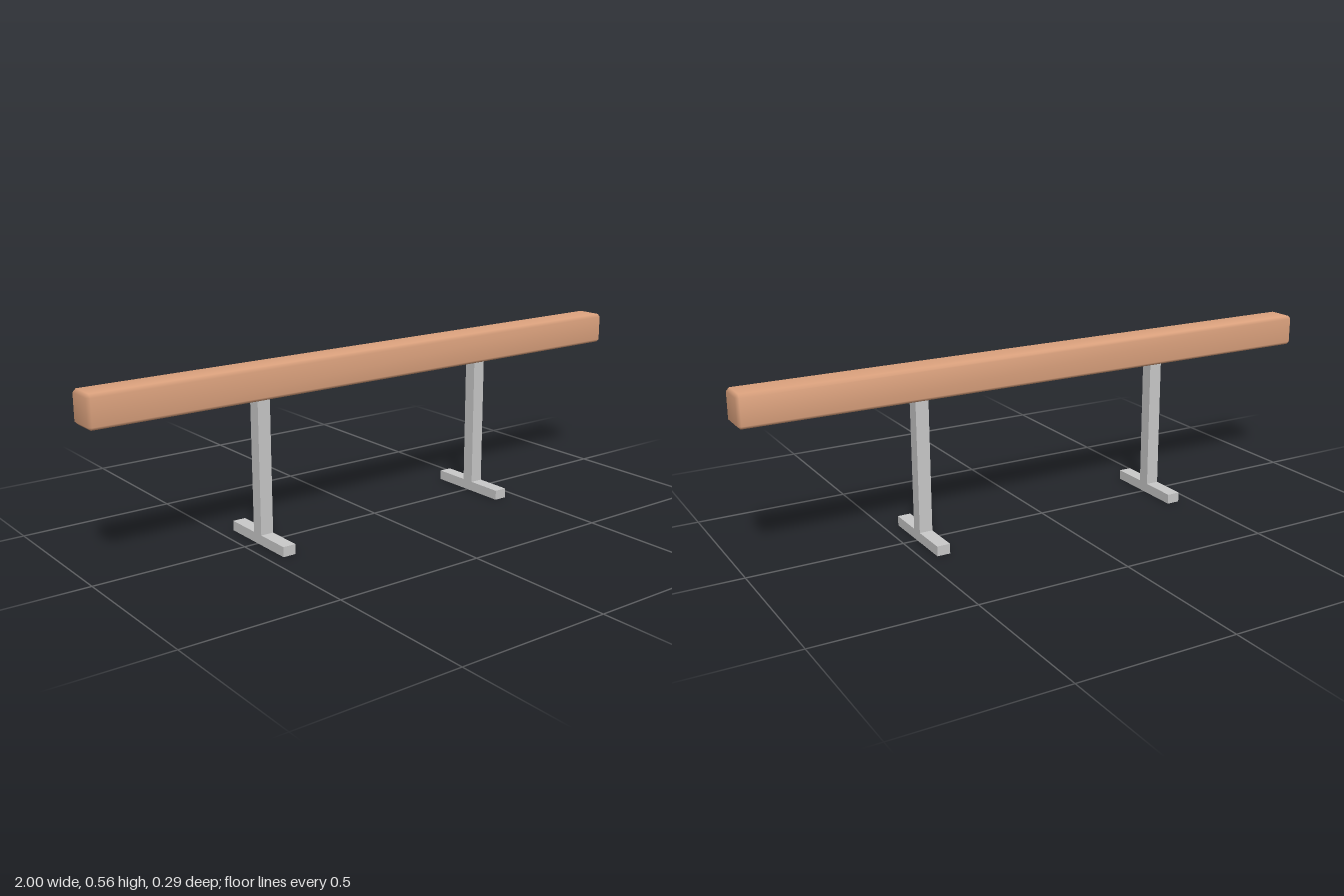
import * as THREE from 'three';
import { mergeVertices } from 'three/addons/utils/BufferGeometryUtils.js';
import { ConvexGeometry } from 'three/addons/geometries/ConvexGeometry.js';

// Box with flat chamfered edges and normals smoothed across them
function softBox(w, h, d, c) {
  const points = [];
  for (const x of [-1, 1]) for (const y of [-1, 1]) for (const z of [-1, 1]) {
    for (const full of [0, 1, 2]) {
      const inset = [c, c, c];
      inset[full] = 0;
      points.push(new THREE.Vector3(
        x * (w / 2 - inset[0]), y * (h / 2 - inset[1]), z * (d / 2 - inset[2])));
    }
  }
  const hull = new ConvexGeometry(points);
  hull.deleteAttribute('normal');
  const geometry = mergeVertices(hull, 1e-4);
  geometry.computeVertexNormals();
  return geometry;
}

export function createModel() {
  const model = new THREE.Group();
  model.name = 'balanceBeam';
  const tan = new THREE.MeshStandardMaterial({ color: 0xe0a580 });
  const grey = new THREE.MeshStandardMaterial({ color: 0xcccccc });

  const add = (parent, name, geometry, material, y) => {
    const mesh = new THREE.Mesh(geometry, material);
    mesh.name = name;
    mesh.position.y = y;
    parent.add(mesh);
  };

  // Padded beam
  add(model, 'beam', softBox(2, 0.102, 0.102, 0.01), tan, 0.512);

  // Two T-shaped stands: upright post on a crosswise foot
  for (const side of [-1, 1]) {
    const stand = new THREE.Group();
    stand.name = side > 0 ? 'leftStand' : 'rightStand';
    stand.position.x = side * 0.431;
    add(stand, 'post', new THREE.BoxGeometry(0.043, 0.43, 0.042), grey, 0.247);
    add(stand, 'foot', new THREE.BoxGeometry(0.043, 0.032, 0.288), grey, 0.016);
    model.add(stand);
  }
  return model;
}
